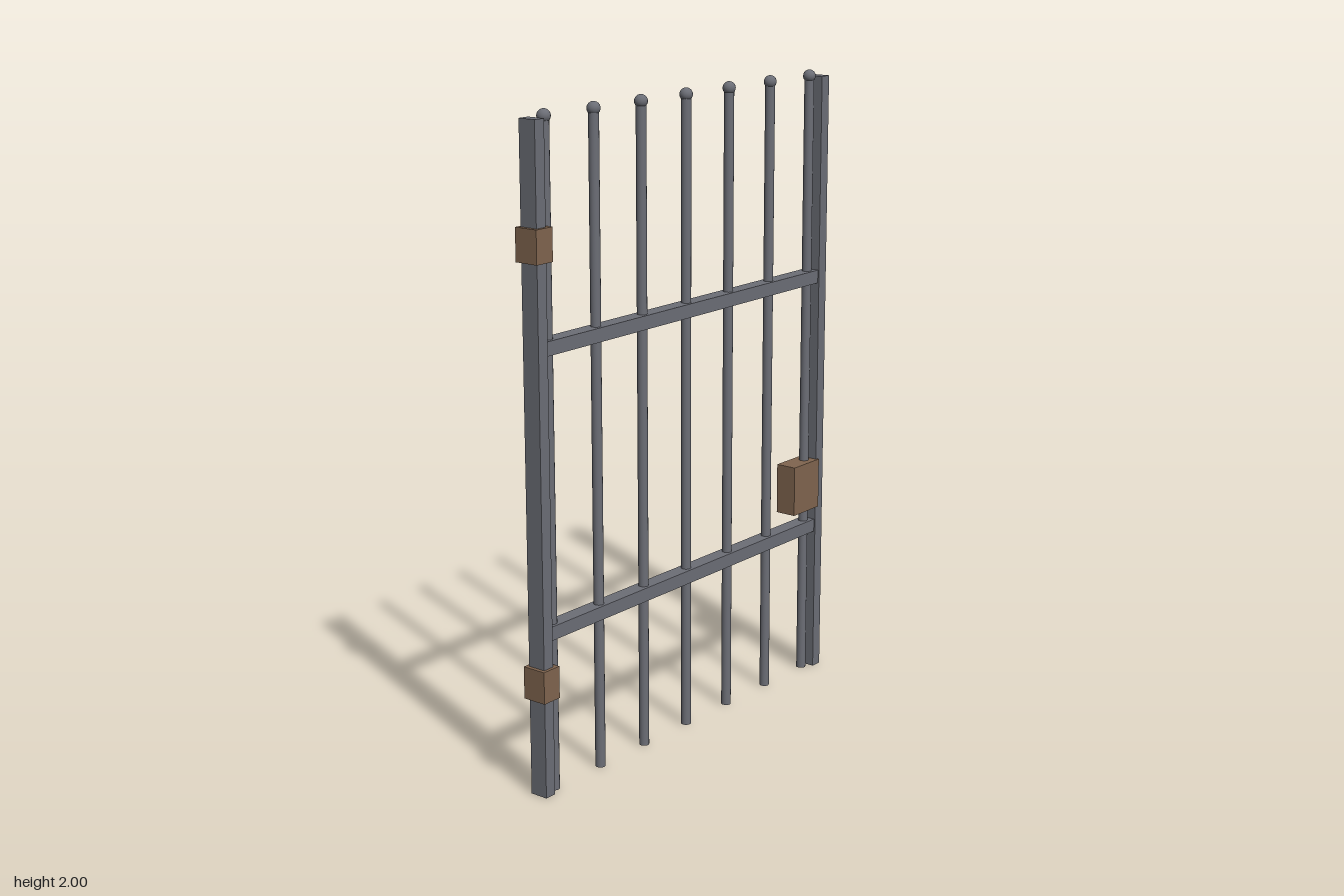
import * as THREE from 'three';

export function createModel() {
  const gate = new THREE.Group();
  gate.name = 'barredGate';
  const iron = new THREE.MeshStandardMaterial({ color: 0x6c6e76 });
  const rust = new THREE.MeshStandardMaterial({ color: 0x80654f });
  const black = new THREE.MeshStandardMaterial({ color: 0x151515 });

  const add = (name, geometry, material, x, y, z = 0) => {
    const mesh = new THREE.Mesh(geometry, material);
    mesh.name = name;
    mesh.position.set(x, y, z);
    gate.add(mesh);
    return mesh;
  };

  // Upright posts at both sides
  const post = new THREE.BoxGeometry(0.038, 1.978, 0.058);
  add('rightPost', post, iron, -0.667, 0.989);
  add('leftPost', post, iron, 0.675, 0.989);

  // Horizontal rails between the posts
  const rail = new THREE.BoxGeometry(1.31, 0.042, 0.049);
  add('lowerRail', rail, iron, 0.004, 0.497);
  add('upperRail', rail, iron, 0.004, 1.337);

  // Round bars with ball finials
  const bar = new THREE.CylinderGeometry(0.0155, 0.0155, 1.98, 16);
  const ball = new THREE.SphereGeometry(0.02, 16, 12);
  for (let i = 0; i < 7; i++) {
    const x = 0.005 + (i - 3) * 0.2075;
    add('bar', bar, iron, x, 0.99);
    add('finial', ball, iron, x, 1.98);
  }

  // Hinge blocks around the right post
  const hinge = new THREE.BoxGeometry(0.066, 0.098, 0.078);
  add('lowerHinge', hinge, rust, -0.665, 0.349);
  add('upperHinge', hinge, rust, -0.665, 1.632);

  // Lock box with a keyhole on the back
  add('lockBox', new THREE.BoxGeometry(0.136, 0.163, 0.07), rust, 0.596, 0.644);
  const keyhole = add('keyhole', new THREE.CylinderGeometry(0.009, 0.009, 0.008, 16), black, 0.596, 0.644, -0.035);
  keyhole.rotation.x = Math.PI / 2;

  return gate;
}
